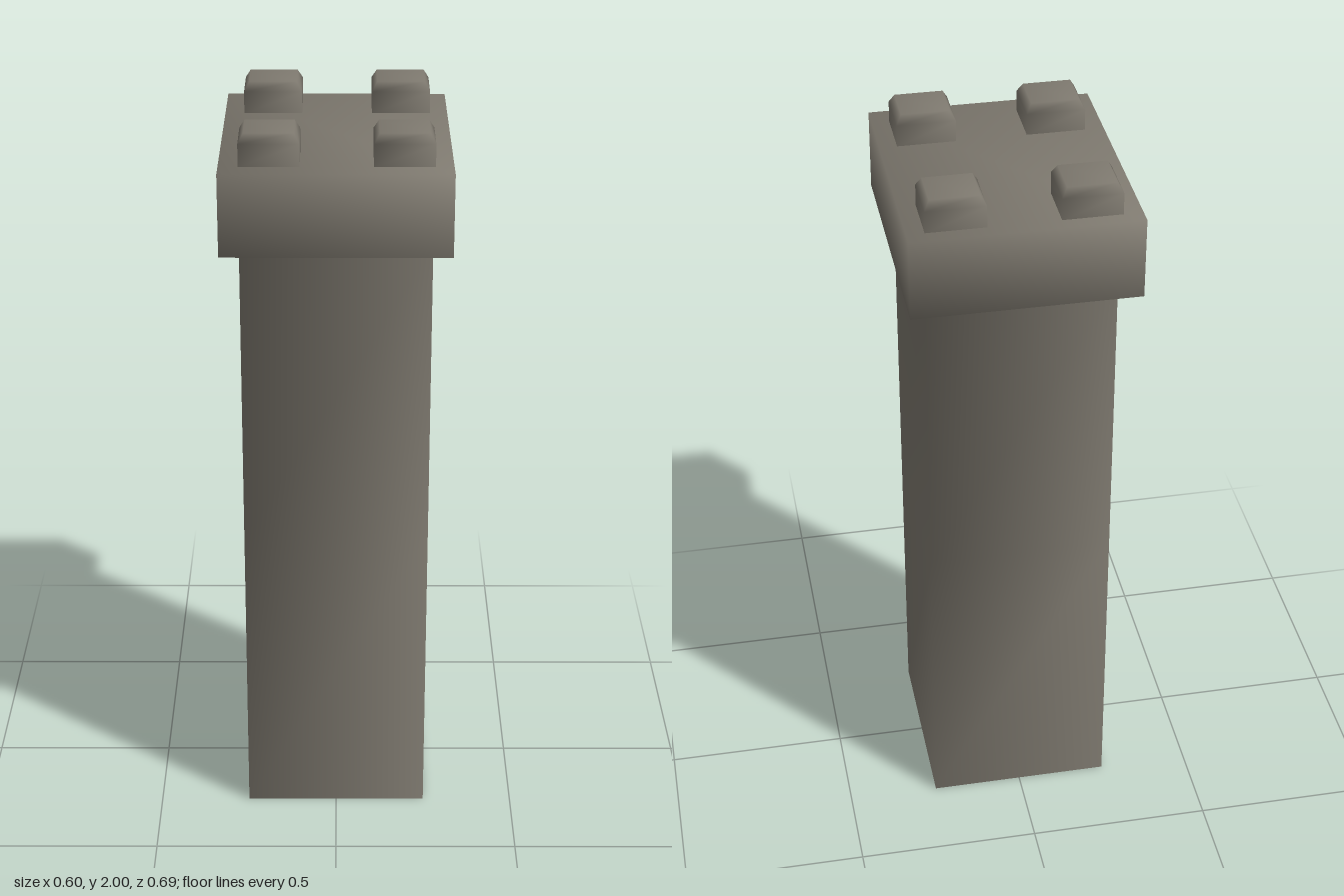
import * as THREE from 'three';

// Smooth rectangular loft: rings of [half width, y, half depth], closed on top, open below
function rectLoft(rings) {
  const positions = [];
  const indices = [];
  for (const [w, y, d] of rings) {
    positions.push(w, y, d, w, y, -d, -w, y, -d, -w, y, d);
  }
  for (let r = 0; r < rings.length - 1; r++) {
    for (let i = 0; i < 4; i++) {
      const a = r * 4 + i;
      const b = r * 4 + (i + 1) % 4;
      indices.push(a, b, b + 4, a, b + 4, a + 4);
    }
  }
  const t = (rings.length - 1) * 4;
  indices.push(t, t + 1, t + 2, t, t + 2, t + 3);
  const geometry = new THREE.BufferGeometry();
  geometry.setAttribute('position', new THREE.Float32BufferAttribute(positions, 3));
  geometry.setIndex(indices);
  geometry.computeVertexNormals();
  return geometry;
}

export function createModel() {
  const group = new THREE.Group();
  const stone = new THREE.MeshStandardMaterial({ color: 0x7f7a70, side: THREE.DoubleSide });
  stone.name = 'stone';

  // Hollow shaft flowing into the wider capital
  const pillar = new THREE.Mesh(rectLoft([
    [0.25, 0, 0.265],
    [0.25, 0.85, 0.265],
    [0.25, 1.695, 0.265],
    [0.299, 1.695, 0.346],
    [0.299, 1.916, 0.346],
  ]), stone);
  pillar.name = 'pillar';
  group.add(pillar);

  // Four bevelled studs on the capital
  const studGeometry = rectLoft([
    [0.078, 1.914, 0.07],
    [0.078, 1.975, 0.07],
    [0.064, 2, 0.057],
  ]);
  for (const x of [-0.17, 0.174]) {
    for (const z of [-0.237, 0.215]) {
      const stud = new THREE.Mesh(studGeometry, stone);
      stud.name = 'stud';
      stud.position.set(x, 0, z);
      group.add(stud);
    }
  }
  return group;
}
